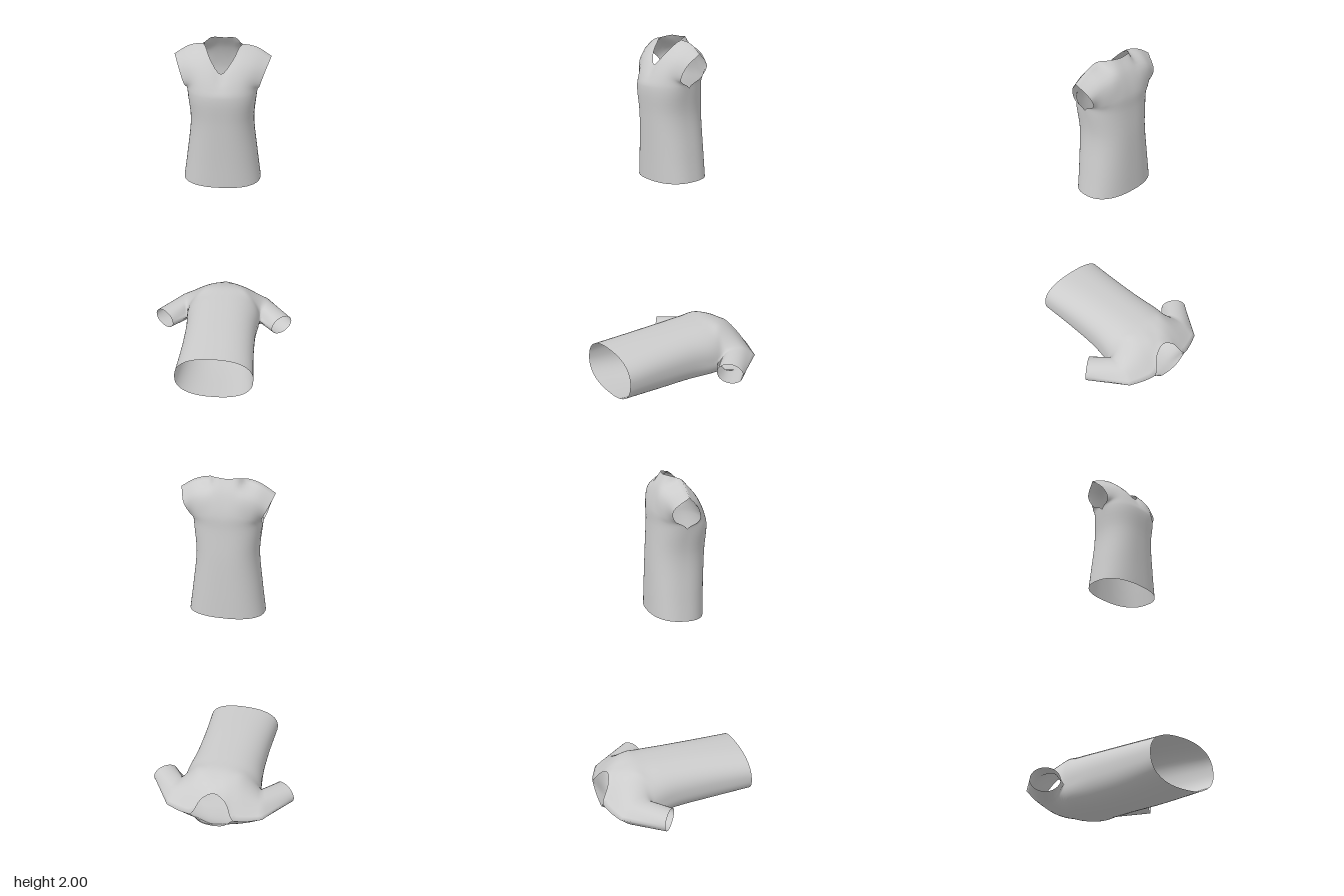
import * as THREE from 'three';
import { mergeGeometries, mergeVertices } from 'three/addons/utils/BufferGeometryUtils.js';

const COLS = 32, STEP = 5; // samples across a panel, and between two rows
const V = (x, y, z) => new THREE.Vector3(x, y, z);
const mirror = (p) => V(-p.x, p.y, p.z);
const material = new THREE.MeshStandardMaterial({ color: 0xcccccc, side: THREE.DoubleSide });

// Skin over a grid of points
function surface(grid, flip) {
  const n = grid[0].length, index = [];
  for (let r = 0; r < grid.length - 1; r++) {
    for (let c = 0; c < n - 1; c++) {
      const a = r * n + c, b = a + 1, d = a + n, e = d + 1;
      index.push(...(flip ? [a, e, b, a, d, e] : [a, b, e, a, e, d]));
    }
  }
  const geo = new THREE.BufferGeometry().setFromPoints(grid.flat());
  geo.setIndex(index);
  return geo;
}

// Half of a rounded body section, from the right seam to the left one
function bodyRow([y, w, seam, front, back, tilt = 0], isFront) {
  const row = [];
  for (let c = 0; c <= COLS; c++) {
    const a = (c / COLS - 0.5) * Math.PI;
    const s = Math.sin(a), k = Math.max(0, Math.cos(a));
    const z = seam + ((isFront ? front : back) - seam) * k ** 0.83;
    row.push(V(w * Math.sign(s) * Math.abs(s) ** 0.83, y + tilt * (z - seam), z));
  }
  return row;
}

// Yoke row from five points, centre to armhole, mirrored
function yokeRow(points) {
  const half = points.map((p) => V(...p));
  const curve = new THREE.CatmullRomCurve3([...half.slice(1).reverse().map(mirror), ...half]);
  return curve.getPoints(COLS);
}

function panel(body, yoke, isFront) {
  const rows = [...body.map((b) => bodyRow(b, isFront)), ...yoke.map(yokeRow)];
  const count = (rows.length - 1) * STEP;
  const columns = rows[0].map((_, c) => new THREE.CatmullRomCurve3(rows.map((r) => r[c])).getPoints(count));
  return Array.from({ length: count + 1 }, (_, r) => columns.map((col) => col[r]));
}

function makeShirt(name, { body, front, back, shoulder, sleeve }) {
  const f = panel(body, [...front.slice(0, 2), [...front[2], ...shoulder]], true);
  const b = panel(body, [...back.slice(0, 2), [...back[2], ...shoulder]], false);
  const armpit = (body.length - 1) * STEP, top = f.length - 1;

  // Sew the side seams and the shoulder seams
  for (let r = 0; r <= top; r++) {
    for (let c = 0; c <= COLS; c++) {
      const side = r <= armpit && (c === 0 || c === COLS);
      const seam = r === top && Math.abs(c - COLS / 2) >= COLS / 4;
      if (side || seam) {
        f[r][c].lerp(b[r][c], 0.5);
        b[r][c].copy(f[r][c]);
      }
    }
  }
  const parts = [surface(f, false), surface(b, true)];

  // Sleeves run from the armhole edge to an oval cuff
  if (sleeve) {
    const { centre, axis, radius } = sleeve;
    [f, b].forEach((grid, isBack) => {
      const strip = grid.slice(armpit).map((row, i) => {
        const a = (i / (top - armpit)) * Math.PI;
        const cuff = V(...centre).addScaledVector(V(...axis), -Math.cos(a));
        cuff.z += radius * Math.sin(a) * (isBack ? -1 : 1);
        return Array.from({ length: 9 }, (_, t) => row[COLS].clone().lerp(cuff, t / 8));
      });
      parts.push(surface(strip, !!isBack));
      parts.push(surface(strip.map((row) => row.map(mirror)), !isBack));
    });
  }

  const geo = mergeVertices(mergeGeometries(parts), 1e-4);
  geo.computeVertexNormals();
  const mesh = new THREE.Mesh(geo, material);
  mesh.name = name;
  return mesh;
}

export function createModel() {
  const model = new THREE.Group();
  model.name = 'shirts';

  // Upright sleeveless top with a V neck; body rows: y, half width, seam z, front z, back z, tilt
  const vest = makeShirt('sleevelessTop', {
    body: [
      [1.257, 0.207, 0.02, 0.168, -0.13, -0.06],
      [1.4, 0.187, 0.02, 0.172, -0.128],
      [1.6, 0.165, 0.025, 0.18, -0.122],
      [1.75, 0.178, 0.035, 0.187, -0.112],
    ],
    front: [
      [[0, 1.79, 0.172], [0.06, 1.8, 0.167], [0.11, 1.81, 0.15], [0.15, 1.81, 0.125], [0.19, 1.79, 0.095]],
      [[0, 1.83, 0.148], [0.05, 1.865, 0.135], [0.1, 1.89, 0.115], [0.155, 1.885, 0.1], [0.215, 1.86, 0.08]],
      [[0, 1.86, 0.13], [0.055, 1.92, 0.095]],
    ],
    back: [
      [[0, 1.83, -0.108], [0.06, 1.83, -0.106], [0.11, 1.82, -0.095], [0.15, 1.81, -0.075], [0.185, 1.8, -0.035]],
      [[0, 1.93, -0.078], [0.05, 1.93, -0.078], [0.1, 1.925, -0.075], [0.16, 1.905, -0.065], [0.215, 1.86, -0.05]],
      [[0, 1.997, -0.035], [0.06, 2, -0.025]],
    ],
    shoulder: [[0.1, 1.985, 0.03], [0.17, 1.97, 0.02], [0.245, 1.925, 0.02]],
  });
  vest.position.x = 0.012;

  // Short-sleeved shirt, built upright and laid on its back
  const tee = makeShirt('shortSleevedShirt', {
    body: [
      [-0.447, 0.226, 0.17, 0.3, 0.04, 0.07],
      [-0.2, 0.215, 0.165, 0.31, 0.015],
      [0, 0.217, 0.155, 0.315, 0.006],
      [0.155, 0.232, 0.13, 0.317, 0.003],
    ],
    front: [
      [[0, 0.25, 0.315], [0.07, 0.25, 0.312], [0.13, 0.245, 0.3], [0.185, 0.235, 0.26], [0.245, 0.22, 0.195]],
      [[0, 0.33, 0.29], [0.06, 0.335, 0.285], [0.125, 0.34, 0.26], [0.195, 0.335, 0.225], [0.265, 0.315, 0.195]],
      [[0, 0.39, 0.26], [0.07, 0.41, 0.225]],
    ],
    back: [
      [[0, 0.25, 0.004], [0.07, 0.25, 0.004], [0.13, 0.245, 0.01], [0.185, 0.235, 0.03], [0.245, 0.22, 0.065]],
      [[0, 0.36, 0.02], [0.06, 0.36, 0.02], [0.125, 0.36, 0.03], [0.195, 0.345, 0.045], [0.265, 0.315, 0.06]],
      [[0, 0.45, 0.07], [0.07, 0.452, 0.085]],
    ],
    shoulder: [[0.125, 0.457, 0.14], [0.2, 0.435, 0.13], [0.285, 0.4, 0.13]],
    sleeve: { centre: [0.375, 0.133, 0.13], axis: [0.06, 0.0475, 0], radius: 0.06 },
  });
  tee.rotation.x = -Math.PI / 2;

  model.add(vest, tee);
  return model;
}
